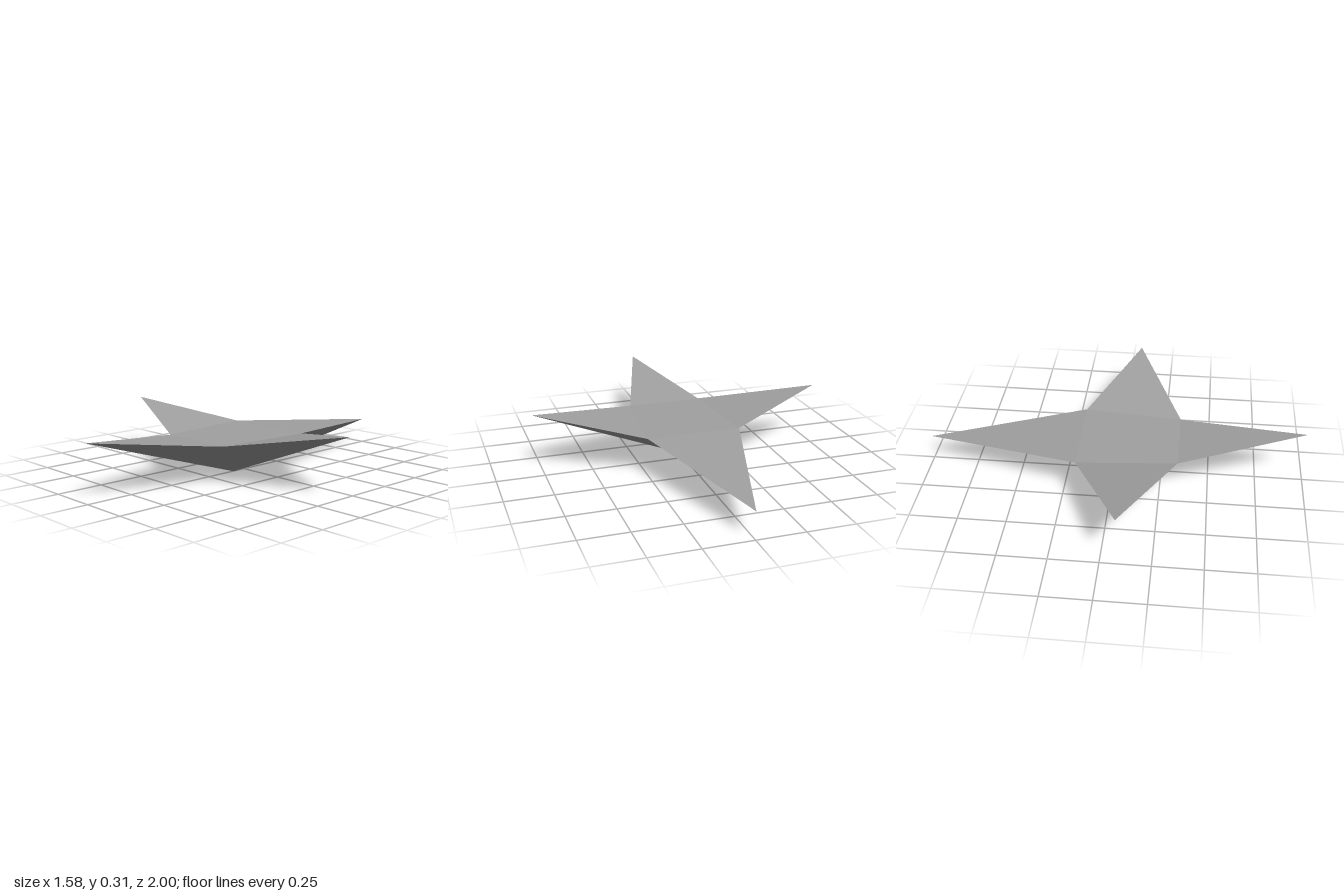
import * as THREE from 'three';

// Rim of the star, counter-clockwise from above: tips at even places, notches at odd places
const rim = [
  [0, 0.29, 1], [0.2, 0.205, 0.34],
  [0.79, 0.305, 0.08], [0.25, 0.205, -0.18],
  [0, 0.14, -1], [-0.245, 0.205, -0.18],
  [-0.79, 0.305, 0.08], [-0.2, 0.205, 0.34],
];
const keel = [0.003, 0, 0.08];

// Mesh of separate flat triangles
function facets(name, triangles, material) {
  const geometry = new THREE.BufferGeometry();
  geometry.setAttribute('position', new THREE.Float32BufferAttribute(triangles.flat(2), 3));
  geometry.computeVertexNormals();
  const mesh = new THREE.Mesh(geometry, material);
  mesh.name = name;
  return mesh;
}

export function createModel() {
  const group = new THREE.Group();
  group.name = 'fourPointedStar';
  const grey = new THREE.MeshStandardMaterial({ color: 0xa0a0a0 });
  grey.name = 'grey';

  // Flat centre deck between the four notches
  const [, a, , b, , c, , d] = rim;
  group.add(facets('centreDeck', [[a, b, c], [a, c, d]], grey));

  // Each point has one top facet and two undersides that meet at the keel
  ['frontPoint', 'leftPoint', 'backPoint', 'rightPoint'].forEach((name, i) => {
    const tip = rim[i * 2];
    const before = rim[(i * 2 + 7) % 8];
    const after = rim[i * 2 + 1];
    group.add(facets(name, [
      [before, tip, after],
      [keel, tip, before],
      [keel, after, tip],
    ], grey));
  });

  return group;
}
